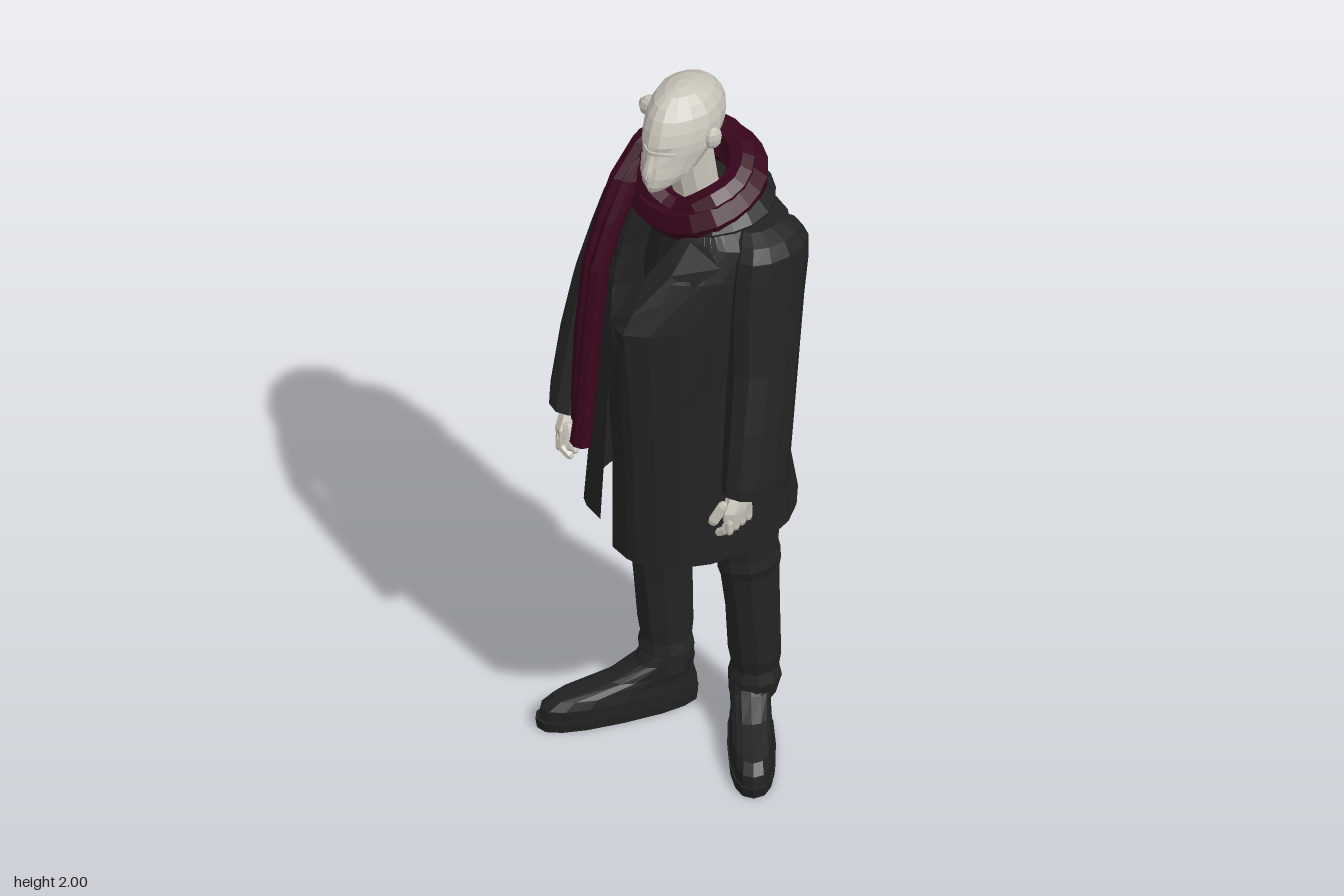
import * as THREE from 'three';

const mat = (name, color) => {
  const m = new THREE.MeshStandardMaterial({ color, flatShading: true, side: THREE.DoubleSide });
  m.name = name;
  return m;
};
const V = (x, y, z) => new THREE.Vector3(x, y, z);

// Surface through rows of points, listed bottom to top
function skin(rows, closed = true) {
  const n = rows[0].length, pos = rows.flat().flatMap(p => [p.x, p.y, p.z]), idx = [];
  for (let r = 0; r + 1 < rows.length; r++)
    for (let i = 0; i < (closed ? n : n - 1); i++) {
      const a = r * n + i, b = r * n + (i + 1) % n, c = a + n, d = b + n;
      idx.push(a, c, b, b, c, d);
    }
  if (closed) [0, rows.length - 1].forEach((r, end) => {
    const mid = rows[r].reduce((s, p) => s.add(p), V(0, 0, 0)).divideScalar(n);
    const k = pos.push(mid.x, mid.y, mid.z) / 3 - 1;
    for (let i = 0; i < n; i++) {
      const a = r * n + i, b = r * n + (i + 1) % n;
      if (end) idx.push(a, k, b); else idx.push(a, b, k);
    }
  });
  const g = new THREE.BufferGeometry();
  g.setAttribute('position', new THREE.Float32BufferAttribute(pos, 3));
  g.setIndex(idx);
  const flat = g.toNonIndexed();
  flat.computeVertexNormals();
  return flat;
}

// Rings [y, cx, cz, rx, rz, shear]; shear slides x along z, tilt slopes the lowest ring,
// power below 1 squares the oval
function loft(rings, n = 10, tilt = 0, power = 1) {
  const bend = v => Math.sign(v) * Math.abs(v) ** power;
  return skin(rings.map(([y, cx, cz, rx, rz, shear = 0], r) => Array.from({ length: n }, (_, i) => {
    const a = i / n * Math.PI * 2, s = bend(Math.sin(a));
    return V(cx + rx * bend(Math.cos(a)) + shear * rz * s, y + (r ? 0 : tilt * s), cz + rz * s);
  })));
}

// Flat band of height h and thickness t along a path
function band(points, h, t) {
  const path = new THREE.CatmullRomCurve3(points.map(p => V(...p)));
  return skin(path.getPoints(10).map(p => [[-1, -1], [1, -1], [1, 1], [-1, 1]]
    .map(([u, v]) => V(p.x, p.y + v * h / 2, p.z + u * t / 2))));
}

export function createModel() {
  const model = new THREE.Group();
  const skinMat = mat('pale skin', 0xc6c2b7), coatMat = mat('charcoal coat', 0x232324);
  const shirtMat = mat('dark shirt', 0x222223), trouserMat = mat('dark trousers', 0x242424);
  const shoeMat = mat('black leather', 0x212121), scarfMat = mat('wine scarf', 0x38051c);
  const add = (name, geo, m, parent = model) => {
    const mesh = new THREE.Mesh(geo, m);
    mesh.name = name;
    parent.add(mesh);
    return mesh;
  };

  // Head: egg-shaped, narrowing to the face, turned slightly aside
  const headRings = [
    [1.763, 0, .075, .024, .042], [1.78, 0, .055, .042, .068], [1.805, 0, .03, .058, .09],
    [1.835, -.008, .006, .075, .108], [1.865, -.012, -.015, .088, .124], [1.89, -.014, -.024, .091, .13],
    [1.92, -.017, -.033, .09, .128], [1.95, -.02, -.037, .083, .116], [1.975, -.022, -.037, .067, .094],
    [1.992, -.022, -.035, .042, .06], [2, -.022, -.03, .014, .022]];
  add('head', skin(headRings.map(([y, cx, cz, rx, rz]) => Array.from({ length: 16 }, (_, i) => {
    const a = i / 16 * Math.PI * 2, s = Math.sin(a), front = Math.max(0, s);
    const socket = y === 1.865 && (i === 3 || i === 5) ? .01 : 0;
    const z = cz + rz * s - socket;
    return V(cx - .004 + rx * Math.cos(a) * (1 - .2 * front) + .09 * z, y, z);
  }))), skinMat);
  add('nose', loft([[1.815, .004, .113, .013, .02], [1.828, .004, .113, .012, .017], [1.872, .002, .1, .007, .01]], 6), skinMat);
  add('brow', band([[-.055, 1.877, .069], [-.03, 1.879, .094], [.002, 1.874, .106], [.03, 1.879, .096], [.053, 1.877, .074]], .008, .01), skinMat);
  add('lips', band([[-.018, 1.796, .106], [.004, 1.798, .119], [.024, 1.796, .108]], .008, .008), skinMat);
  add('neck', loft([[1.6, .002, -.07, .075, .075], [1.7, 0, -.05, .058, .06], [1.83, -.005, -.03, .056, .065]], 10), skinMat);
  for (const [name, x, z, sx, ry] of [['leftEar', .074, -.038, .016, -.3], ['rightEar', -.122, -.018, .036, .35]]) {
    const ear = add(name, new THREE.SphereGeometry(1, 8, 6), skinMat);
    ear.position.set(x, 1.885, z);
    ear.scale.set(sx, .031, .024);
    ear.rotation.y = ry;
  }

  // Shirt under the open coat
  add('shirt', loft([[.8, -.02, -.06, .1, .09], [.92, 0, -.06, .13, .11], [1.2, 0, -.06, .145, .125], [1.45, .01, -.06, .15, .135],
    [1.62, .01, -.07, .12, .12], [1.68, 0, -.06, .075, .08]], 14), shirtMat);

  // Coat: each row runs from the right front edge, round the back, to the left front edge
  const coatRows = [
    [.71, -.11, .17, -.2, .14, -.25, 0, -.16, -.215, .12, -.262, .245, -.13, .21, .1, .08, .23, -.01, .225],
    [1, -.09, .17, -.18, .13, -.23, -.02, -.15, -.2, .1, -.222, .23, -.12, .2, .1, .075, .235, -.01, .225],
    [1.2, -.08, .17, -.17, .12, -.23, -.05, -.16, -.2, .12, -.21, .225, -.11, .195, .085, .07, .243, -.02, .23],
    [1.42, -.08, .16, -.17, .1, -.24, -.08, -.19, -.19, .15, -.212, .245, -.1, .2, .08, .06, .256, -.005, .235],
    [1.55, -.09, .13, -.16, .08, -.23, -.09, -.18, -.19, .17, -.21, .26, -.09, .2, .055, .11, .15, .045, .15],
    [1.63, -.09, .07, -.14, .05, -.21, -.09, -.15, -.19, .17, -.2, .26, -.08, .19, .03, .14, .055, .085, .075],
    [1.69, -.08, .04, -.1, .02, -.12, -.07, -.09, -.18, .07, -.19, .13, -.07, .11, 0, .1, .02, .08, .03]];
  add('coat', skin(coatRows.map(([y, ...c], r) => {
    const pts = [];
    for (let i = 0; i < c.length; i += 2) pts.push(V(c[i], y + (r ? 0 : .05 * Math.max(0, .05 - c[i + 1]) / .3), c[i + 1]));
    return new THREE.CatmullRomCurve3(pts, false, 'centripetal').getPoints(24);
  }), false), coatMat);

  // Collar, lapels, pocket flaps and half belt
  const ring = (pts, r) => new THREE.TubeGeometry(
    new THREE.CatmullRomCurve3(pts.map(p => V(...p)), true), 22, r, 7, true);
  add('collar', ring([[.01, 1.63, .02], [.11, 1.65, 0], [.145, 1.66, -.09], [.08, 1.665, -.175],
    [-.04, 1.67, -.18], [-.125, 1.66, -.12], [-.115, 1.65, 0]], .05), coatMat);
  add('leftLapel', skin([[V(-.012, 1.3, .236), V(.03, 1.36, .258), V(.06, 1.42, .262)],
    [V(-.004, 1.43, .24), V(.065, 1.47, .235), V(.15, 1.53, .125)],
    [V(.045, 1.55, .155), V(.11, 1.57, .14), V(.2, 1.6, .06)],
    [V(.08, 1.64, .078), V(.11, 1.64, .075), V(.15, 1.64, .058)]], false), coatMat);
  add('rightLapel', skin([[V(-.08, 1.3, .172), V(-.1, 1.4, .16)], [V(-.08, 1.45, .165), V(-.18, 1.53, .09)],
    [V(-.09, 1.63, .08), V(-.16, 1.62, .05)]], false), coatMat);
  add('leftPocketFlap', band([[.145, 1.19, .16], [.18, 1.2, .113], [.214, 1.21, .03]], .045, .012), coatMat);
  add('rightPocketFlap', band([[-.14, 1.19, .145], [-.18, 1.2, .105], [-.215, 1.21, .02]], .045, .012), coatMat);
  add('halfBelt', band([[-.195, 1.185, -.18], [-.155, 1.185, -.245], [-.09, 1.18, -.23], [.1, 1.175, -.233], [.19, 1.18, -.18]], .04, .02), coatMat);

  // Sleeves
  add('rightSleeve', loft([[.985, -.255, .11, .068, .095, .25], [1.02, -.26, .1, .07, .095, .25], [1.15, -.274, .04, .077, .1, .15],
    [1.3, -.275, -.03, .08, .11], [1.42, -.26, -.07, .08, .115], [1.52, -.235, -.09, .082, .115],
    [1.6, -.208, -.095, .07, .11], [1.645, -.185, -.095, .05, .085], [1.67, -.165, -.095, .02, .05]], 12, .01), coatMat);
  add('leftSleeve', loft([[.955, .291, .028, .061, .098], [1, .289, .025, .063, .1], [1.15, .272, -.005, .069, .1],
    [1.3, .25, -.04, .075, .1], [1.45, .232, -.065, .076, .11], [1.55, .228, -.082, .07, .115],
    [1.61, .225, -.09, .067, .11], [1.645, .215, -.09, .058, .09], [1.662, .19, -.09, .035, .06]], 12, .02), coatMat);

  // Hands: palm, four curled fingers and a thumb; s points away from the body
  for (const [name, s, x, y, z, yaw] of [['leftHand', 1, .278, .965, .078, .15], ['rightHand', -1, -.225, .995, .165, .3]]) {
    const hand = new THREE.Group();
    hand.name = name;
    hand.position.set(x, y, z);
    hand.rotation.y = yaw;
    add('palm', loft([[-.078, 0, 0, .024, .05], [-.045, 0, 0, .028, .051], [-.01, 0, -.01, .026, .036], [.02, 0, -.02, .022, .024]], 8), skinMat, hand);
    for (let i = 0; i < 4; i++) {
      const fz = -.037 + i * .025;
      const upper = add('finger', new THREE.CapsuleGeometry(.0135, .026, 2, 6), skinMat, hand);
      upper.position.set(s * .004, -.085, fz);
      const tip = add('fingertip', new THREE.CapsuleGeometry(.0115, .026, 2, 6), skinMat, hand);
      tip.position.set(-s * .013, -.107, fz + .003);
      tip.rotation.z = -s * .9;
    }
    const thumb = add('thumb', new THREE.CapsuleGeometry(.0145, .045, 2, 6), skinMat, hand);
    thumb.position.set(-s * .024, -.055, .045);
    thumb.rotation.set(-.4, 0, -s * .35);
    model.add(hand);
  }

  // Scarf: two wraps round the neck and a pair of hanging folds
  add('scarfWrap', ring([[.02, 1.655, .045], [.1, 1.68, .015], [.122, 1.705, -.07], [.085, 1.735, -.15],
    [-.02, 1.748, -.178], [-.1, 1.745, -.13], [-.112, 1.735, -.05], [-.085, 1.67, .03]], .054), scarfMat);
  add('scarfUpperWrap', ring([[.03, 1.675, .04], [.1, 1.72, .01], [.115, 1.745, -.07], [.07, 1.775, -.14],
    [-.03, 1.79, -.165], [-.105, 1.79, -.11], [-.12, 1.78, -.02], [-.075, 1.71, .04]], .038), scarfMat);
  add('scarfOuterFold', loft([[1.02, -.138, .205, .032, .022], [1.1, -.14, .205, .029, .025], [1.3, -.137, .195, .028, .028],
    [1.5, -.138, .165, .028, .03], [1.62, -.138, .115, .028, .035], [1.72, -.132, .06, .032, .045], [1.8, -.125, -.01, .032, .045], [1.825, -.12, -.03, .012, .02]], 8), scarfMat);
  add('scarfInnerFold', loft([[.99, -.105, .243, .03, .024], [1.08, -.104, .23, .025, .026], [1.3, -.106, .205, .022, .028],
    [1.5, -.108, .175, .022, .03], [1.62, -.11, .12, .024, .032], [1.72, -.11, .06, .028, .035], [1.77, -.11, .02, .02, .03]], 8), scarfMat);

  // Trousers with bunched folds at the knee and ankle
  add('leftTrouser', loft([[.11, .084, -.162, .058, .06], [.17, .09, -.165, .068, .067], [.2, .09, -.165, .06, .06],
    [.24, .092, -.162, .067, .066], [.4, .095, -.152, .064, .075], [.52, .098, -.14, .066, .084], [.55, .1, -.135, .073, .09],
    [.58, .1, -.132, .067, .086], [.72, .1, -.125, .074, .1], [1, .09, -.08, .08, .11]]), trouserMat);
  add('rightTrouser', loft([[.11, -.145, -.088, .06, .065], [.17, -.152, -.096, .07, .072], [.2, -.152, -.096, .063, .066],
    [.24, -.155, -.096, .068, .073], [.4, -.158, -.09, .068, .083], [.52, -.155, -.078, .069, .087], [.55, -.152, -.072, .077, .09],
    [.58, -.146, -.07, .074, .088], [.72, -.12, -.062, .09, .1], [1, -.1, -.06, .09, .11]]), trouserMat);

  // Shoes, toes turned outward
  for (const [name, x, z, yaw, length] of [['leftShoe', .082, -.157, .83, 1], ['rightShoe', -.143, -.08, -.42, 1.13]]) {
    const shoe = new THREE.Group();
    shoe.name = name;
    shoe.position.set(x, 0, z);
    shoe.rotation.y = yaw;
    shoe.scale.z = length;
    add('sole', loft([[0, 0, .108, .058, .186], [.028, 0, .109, .06, .189]], 16, 0, .8), shoeMat, shoe);
    add('upper', loft([[.025, 0, .107, .056, .185], [.058, 0, .105, .055, .181], [.08, 0, .093, .051, .164],
      [.105, 0, .035, .05, .1], [.14, 0, 0, .052, .068], [.165, 0, -.006, .05, .058]], 16, 0, .8), shoeMat, shoe);
    model.add(shoe);
  }
  return model;
}
